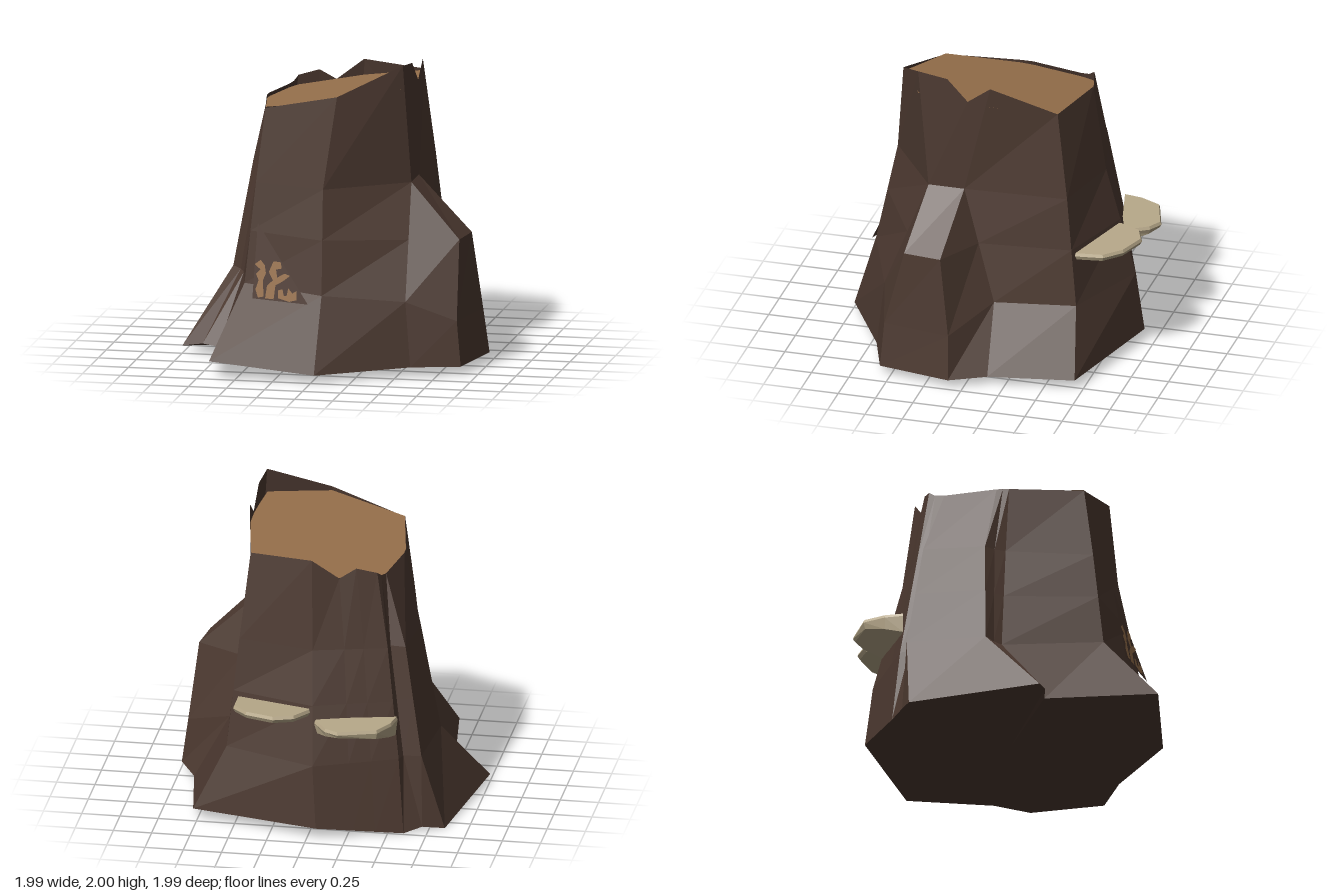
import * as THREE from 'three';

const bark = new THREE.MeshStandardMaterial({ color: 0x4c3930, flatShading: true, side: THREE.DoubleSide });
bark.name = 'bark';
const wood = new THREE.MeshStandardMaterial({ color: 0x98714c, flatShading: true, side: THREE.DoubleSide });
wood.name = 'cutWood';
const fungus = new THREE.MeshStandardMaterial({ color: 0xb8a98a, flatShading: true });
fungus.name = 'fungus';

const lerp = (a, b, t) => a.map((v, i) => v + (b[i] - v) * t);

// Flat-faced geometry from a list of [a, b, c] triangles, skipping collapsed ones
function fromTriangles(tris) {
  const pos = [];
  const v = (p) => new THREE.Vector3(...p);
  for (const [a, b, c] of tris) {
    const n = v(b).sub(v(a)).cross(v(c).sub(v(a)));
    if (n.length() > 1e-7) pos.push(...a, ...b, ...c);
  }
  const g = new THREE.BufferGeometry();
  g.setAttribute('position', new THREE.Float32BufferAttribute(pos, 3));
  g.computeVertexNormals();
  return g;
}

// A trunk column: base, flare, shoulder (interpolated unless given), upper, rim
const column = (base, mid, up, top, shoulder = lerp(mid, up, 0.52)) => [base, mid, shoulder, up, top];

function trunkColumns() {
  const cUp = [0.53, 1.22, 0.35], dUp = [0.53, 1.22, 0.11];
  const frontLow = column([-0.67, 0.12, 0.99], [-0.51, 0.57, 0.63], [-0.45, 1.22, 0.56], [-0.4, 1.7, 0.5]);
  const frontMid = column([0.02, 0.055, 0.99], [0.04, 0.55, 0.84], [0.02, 1.22, 0.7], [0.1, 1.82, 0.64]);
  const frontHigh = column([0.59, 0.07, 0.68], [0.55, 0.49, 0.64], cUp, [0.49, 2, 0.43]);
  // thick buttress root, with the notch in the rim above it
  const rootFront = column([0.9, 0.065, 0.57], [0.87, 0.36, 0.55], cUp, [0.51, 1.98, 0.23], [0.86, 0.87, 0.42]);
  const rootBack = column([0.99, 0.065, 0.09], [0.95, 0.36, 0.1], dUp, [0.52, 1.84, 0.09], [0.89, 0.87, 0.17]);
  const side = column([0.87, 0.065, -0.14], [0.64, 0.49, -0.12], dUp, [0.52, 1.95, -0.06]);
  const backHigh = column([0.78, 0.07, -0.7], [0.57, 0.5, -0.65], [0.5, 1.22, -0.57], [0.44, 1.79, -0.49]);
  const back = column([-0.06, 0.08, -0.93], [-0.03, 0.49, -0.88], [0, 1.22, -0.69], [0.02, 1.81, -0.61]);
  const backLow = column([-0.6, 0.005, -0.73], [-0.56, 0.5, -0.68], [-0.47, 1.22, -0.57], [-0.39, 1.71, -0.5]);
  // splinters in the back rim
  const splinter = (t, y) => {
    const c = back.map((p, i) => lerp(p, backLow[i], t));
    c[4][1] = y;
    return c;
  };
  return [
    frontLow, frontMid, frontHigh, rootFront, rootBack, side, backHigh, back,
    splinter(0.42, 1.68), splinter(0.68, 1.745), backLow,
    // groove
    column([-0.71, 0.03, -0.66], [-0.58, 0.5, -0.62], [-0.48, 1.22, -0.52], [-0.41, 1.68, -0.46]),
    column([-0.85, 0.01, -0.61], [-0.7, 0.51, -0.63], [-0.58, 1.22, -0.53], [-0.43, 1.67, -0.4]),
    // thin hooked root
    column([-1, 0.055, 0.24], [-0.74, 0.52, -0.12], [-0.61, 1.22, -0.13], [-0.49, 1.68, -0.06]),
    column([-0.86, 0.08, 0.27], [-0.68, 0.51, -0.07], [-0.56, 1.22, -0.07], [-0.49, 1.68, -0.02]),
    column([-0.76, 0.06, 0.26], [-0.65, 0.5, -0.02], [-0.53, 1.22, 0], [-0.49, 1.68, 0.02]),
  ];
}

// Shelf fungus from a plan outline of [x, z]; top and bottom heights are rules of z
function shelf(outline, topY, bottomY) {
  const inset = (p, s) => [0.5 * (outline[0][0] + outline.at(-1)[0]) * (1 - s) + p[0] * s,
    0.5 * (outline[0][1] + outline.at(-1)[1]) * (1 - s) + p[1] * s];
  const ring = (s, yOf, dy) => outline.map((p) => {
    const [x, z] = inset(p, s);
    return [x, yOf(p[1]) + dy, z];
  });
  const rings = [ring(0.95, bottomY, 0), ring(1, topY, -0.02), ring(0.97, topY, 0)];
  const n = outline.length, tris = [];
  for (let k = 0; k < 2; k++) for (let i = 0; i < n; i++) {
    const j = (i + 1) % n, [a, b, c, d] = [rings[k][i], rings[k][j], rings[k + 1][j], rings[k + 1][i]];
    tris.push([a, c, b], [a, d, c]);
  }
  for (let i = 1; i < n - 1; i++) {
    tris.push([rings[2][0], rings[2][i + 1], rings[2][i]], [rings[0][0], rings[0][i], rings[0][i + 1]]);
  }
  return fromTriangles(tris);
}

export function createModel() {
  const model = new THREE.Group();
  const add = (name, geometry, material) => {
    const mesh = new THREE.Mesh(geometry, material);
    mesh.name = name;
    model.add(mesh);
  };

  // Bark wall, lofted through the columns, and the underside
  const cols = trunkColumns(), n = cols.length;
  const wall = [], under = [], cut = [];
  const capY = (x, z) => 1.74 + 0.16 * x + 0.06 * z;
  const capPoint = ([x, , z]) => [x * 0.995, capY(x, z), z * 0.995];
  for (let i = 0; i < n; i++) {
    const a = cols[i], b = cols[(i + 1) % n];
    for (let k = 0; k < 4; k++) wall.push([a[k], b[k], b[k + 1]], [a[k], b[k + 1], a[k + 1]]);
    under.push([[0, 0.06, 0], b[0], a[0]]);
    cut.push([[0, capY(0, 0), 0], capPoint(a[4]), capPoint(b[4])]);
  }
  add('trunk', fromTriangles(wall), bark);
  add('underside', fromTriangles(under), bark);
  add('cutTop', fromTriangles(cut), wood);

  // Loose bark flap on the front, with bare wood showing through
  const p0 = [-0.43, 0.5, 0.77], p1 = [-0.04, 0.5, 0.89], p2 = [-0.41, 0.98, 0.69];
  add('barkFlap', fromTriangles([[p0, p1, p2]]), bark);
  const flapZ = (x, y) => 0.77 + (x + 0.43) * 0.308 - (y - 0.5) * 0.18 + 0.004;
  const patches = [
    [[-0.42, 0.72], [-0.38, 0.75], [-0.35, 0.72], [-0.34, 0.67], [-0.36, 0.62], [-0.35, 0.52], [-0.39, 0.51],
      [-0.41, 0.56], [-0.39, 0.62], [-0.41, 0.66], [-0.38, 0.69]],
    [[-0.34, 0.51], [-0.33, 0.59], [-0.29, 0.63], [-0.32, 0.68], [-0.29, 0.75], [-0.24, 0.75], [-0.23, 0.71],
      [-0.27, 0.7], [-0.26, 0.65], [-0.21, 0.68], [-0.17, 0.67], [-0.22, 0.63], [-0.27, 0.6], [-0.28, 0.51]],
    [[-0.25, 0.52], [-0.25, 0.57], [-0.22, 0.58], [-0.21, 0.54], [-0.19, 0.54], [-0.18, 0.59], [-0.15, 0.56],
      [-0.12, 0.58], [-0.12, 0.52], [-0.17, 0.505]],
  ];
  for (const points of patches) {
    const g = new THREE.ShapeGeometry(new THREE.Shape(points.map(([x, y]) => new THREE.Vector2(x, y))));
    const p = g.attributes.position;
    for (let i = 0; i < p.count; i++) p.setZ(i, flapZ(p.getX(i), p.getY(i)));
    g.computeVertexNormals();
    add('bareWoodPatch', g, wood);
  }

  // Shelf fungi on the back
  add('upperFungus', shelf(
    [[0, -0.76], [0, -0.8], [0.08, -0.94], [0.21, -0.99], [0.4, -0.92], [0.5, -0.81], [0.505, -0.61]],
    (z) => 0.81 - z * 0.05, (z) => 0.76 - z * 0.055), fungus);
  add('lowerFungus', shelf(
    [[-0.55, -0.66], [-0.53, -0.78], [-0.46, -0.92], [-0.21, -1], [-0.12, -0.95], [-0.03, -0.81], [-0.04, -0.78]],
    () => 0.785, (z) => 0.7 - (z + 0.83) * 0.25), fungus);
  return model;
}
